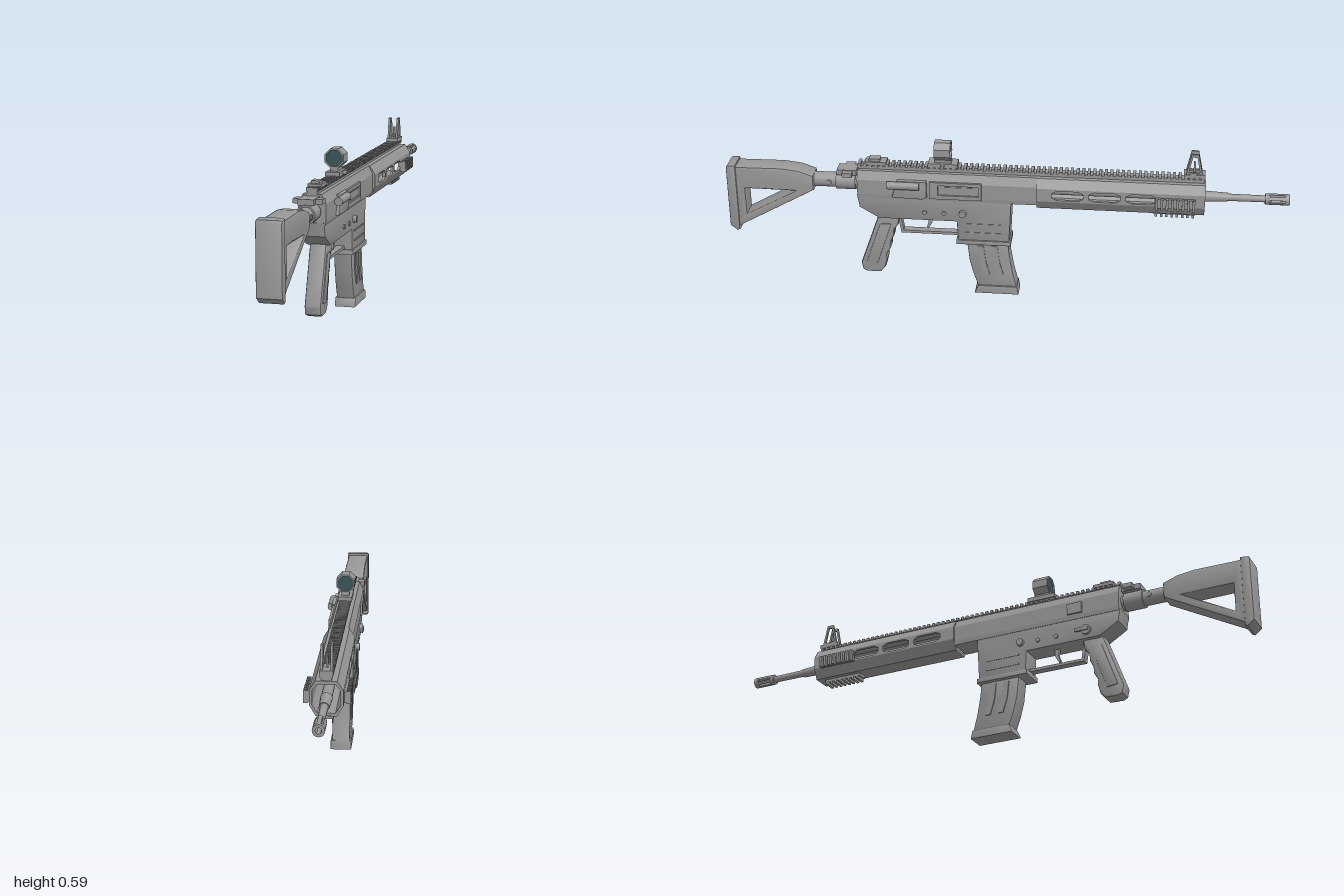
import * as THREE from 'three';
import { toCreasedNormals } from 'three/addons/utils/BufferGeometryUtils.js';

const metal = new THREE.MeshStandardMaterial({ color: 0x989898 });
metal.name = 'grey metal';
const glass = new THREE.MeshStandardMaterial({ color: 0x3a5658, side: THREE.DoubleSide });
glass.name = 'teal lens';

export function createModel() {
  const root = new THREE.Group();
  root.name = 'rifle';

  const add = (name, geo, x = 0, y = 0, z = 0, mat = metal) => {
    const m = new THREE.Mesh(geo, mat);
    m.name = name;
    m.position.set(x, y, z);
    root.add(m);
    return m;
  };
  const shapeOf = (pts, holes = []) => {
    const s = new THREE.Shape(pts.map(p => new THREE.Vector2(...p)));
    for (const h of holes) s.holes.push(new THREE.Path(h.map(p => new THREE.Vector2(...p))));
    return s;
  };
  // Side outline in (z, y), extruded to a full width w across x
  const profile = (name, pts, w, { holes = [], bevel = 0, x = 0 } = {}) => {
    const g = new THREE.ExtrudeGeometry(shapeOf(pts, holes), {
      depth: w - 2 * bevel, bevelEnabled: bevel > 0, bevelSize: bevel,
      bevelOffset: -bevel, bevelThickness: bevel, bevelSegments: 2,
    });
    g.translate(0, 0, -(w - 2 * bevel) / 2).rotateY(-Math.PI / 2);
    return add(name, toCreasedNormals(g, 0.6), x);
  };
  // Cross-section in (x, y), extruded from z0 to z1
  const section = (name, pts, z0, z1, holes = []) =>
    add(name, new THREE.ExtrudeGeometry(shapeOf(pts, holes), { depth: z1 - z0, bevelEnabled: false }), 0, 0, z0);
  const box = (name, x, y, z, w, h, d) => add(name, new THREE.BoxGeometry(w, h, d), x, y, z);
  // Rod along z, and pin along x
  const rod = (name, r0, r1, z0, z1, y, x = 0, n = 20) =>
    add(name, new THREE.CylinderGeometry(r1, r0, z1 - z0, n).rotateX(Math.PI / 2), x, y, (z0 + z1) / 2);
  const pin = (name, r, x, y, z, w, n = 16) =>
    add(name, new THREE.CylinderGeometry(r, r, w, n).rotateZ(Math.PI / 2), x, y, z);
  const octagon = (r, y) => Array.from({ length: 8 }, (_, i) => {
    const a = Math.PI / 8 + i * Math.PI / 4;
    return [r * Math.cos(a), y + r * Math.sin(a)];
  });
  const slot = (z0, z1, y, h) => [
    [z0 + h / 2, y - h / 2], [z1 - h / 2, y - h / 2], [z1, y - h / 4], [z1, y + h / 4],
    [z1 - h / 2, y + h / 2], [z0 + h / 2, y + h / 2], [z0, y + h / 4], [z0, y - h / 4]];

  // Stock with triangular opening, and butt pad
  profile('stock', [[0.97, 0.47], [0.80, 0.472], [0.74, 0.465], [0.685, 0.447], [0.685, 0.39], [0.97, 0.23]],
    0.078, { bevel: 0.008, holes: [[[0.935, 0.385], [0.935, 0.285], [0.755, 0.385]]] });
  profile('buttPad', [[0.965, 0.478], [0.995, 0.475], [1, 0.465], [1, 0.235], [0.975, 0.215], [0.965, 0.22]],
    0.086, { bevel: 0.006 });
  rod('bufferTube', 0.027, 0.027, 0.52, 0.70, 0.42);
  rod('bufferCollar', 0.033, 0.033, 0.535, 0.605, 0.42);
  pin('collarPin', 0.009, 0, 0.42, 0.63, 0.058);
  box('chargingHandle', 0, 0.461, 0.565, 0.055, 0.02, 0.07);
  box('chargingLatch', 0, 0.461, 0.56, 0.1, 0.016, 0.035);

  // Upper receiver
  section('upperReceiver', [[-0.045, 0.375], [0.045, 0.375], [0.047, 0.39], [0.047, 0.445], [0.032, 0.476],
    [-0.032, 0.476], [-0.047, 0.445], [-0.047, 0.39]], -0.115, 0.525);
  // Lower receiver and magazine well
  profile('lowerReceiver', [[0.528, 0.382], [0.52, 0.335], [0.45, 0.293], [0.17, 0.293], [0.165, 0.21],
    [-0.018, 0.21], [-0.026, 0.382]], 0.086, { bevel: 0.004 });
  profile('magazineWellLip', [[0.172, 0.222], [0.172, 0.204], [-0.024, 0.204], [-0.024, 0.222]], 0.096, { bevel: 0.004 });
  for (const s of [-1, 1]) {
    for (const y of [0.25, 0.285]) box('wellRib', s * 0.043, y, 0.075, 0.004, 0.006, 0.13);
    pin('receiverPin', 0.008, s * 0.044, 0.325, 0.285, 0.008);
    pin('receiverPin', 0.008, s * 0.044, 0.325, 0.215, 0.008);
    pin('magazineCatch', 0.013, s * 0.047, 0.328, 0.148, 0.018);
  }

  // Right-hand working parts on the +x side
  profile('ejectionPort', [[0.265, 0.385], [0.265, 0.45], [0.08, 0.45], [0.08, 0.385]], 0.01,
    { x: 0.048, holes: [[[0.235, 0.4], [0.09, 0.4], [0.09, 0.438], [0.235, 0.438]]] });
  box('boltCover', 0.046, 0.419, 0.155, 0.006, 0.026, 0.12);
  profile('deflector', [[0.40, 0.385], [0.38, 0.452], [0.275, 0.452], [0.275, 0.39], [0.29, 0.382]], 0.02, { x: 0.048, bevel: 0.004 });
  rod('boltHandle', 0.014, 0.014, 0.30, 0.415, 0.435, 0.06);
  // Controls on the -x side
  box('boltRelease', -0.048, 0.415, 0.36, 0.012, 0.04, 0.055);
  pin('selector', 0.018, -0.046, 0.325, 0.40, 0.014);
  box('selectorLever', -0.054, 0.327, 0.385, 0.006, 0.012, 0.05);

  // Handguard: top and bottom shells with slotted sides
  section('handguardTop', [[-0.055, 0.445], [-0.045, 0.445], [-0.03, 0.464], [0.03, 0.464], [0.045, 0.445],
    [0.055, 0.445], [0.035, 0.476], [-0.035, 0.476]], -0.705, -0.115);
  section('handguardBottom', [[-0.055, 0.396], [-0.034, 0.36], [0.034, 0.36], [0.055, 0.396], [0.045, 0.396],
    [0.029, 0.37], [-0.029, 0.37], [-0.045, 0.396]], -0.705, -0.115);
  const slots = [[-0.28, -0.17], [-0.41, -0.30], [-0.535, -0.43]].map(([a, b]) => slot(a, b, 0.42, 0.036));
  for (const s of [-1, 1]) {
    profile('handguardSide', [[-0.705, 0.396], [-0.115, 0.396], [-0.115, 0.445], [-0.705, 0.445]], 0.01,
      { x: s * 0.05, holes: slots });
    box('sideRail', s * 0.059, 0.412, -0.60, 0.01, 0.036, 0.14);
  }
  box('bottomRail', 0, 0.355, -0.60, 0.036, 0.012, 0.15);
  for (let i = 0; i < 8; i++) {
    const z = -0.537 - i * 0.0185;
    for (const s of [-1, 1]) box('sideRailTooth', s * 0.069, 0.412, z, 0.014, 0.042, 0.009);
    box('bottomRailTooth', 0, 0.345, z, 0.042, 0.012, 0.009);
  }

  // Full-length top rail
  box('topRail', 0, 0.48, -0.0875, 0.034, 0.016, 1.225);
  for (let i = 0; i < 62; i++) box('topRailTooth', 0, 0.491, 0.519 - i * 0.0199, 0.042, 0.012, 0.0105);

  // Barrel and slotted muzzle
  rod('innerBarrel', 0.018, 0.018, -0.72, -0.10, 0.418);
  rod('barrelCollar', 0.016, 0.02, -0.785, -0.70, 0.418);
  rod('barrel', 0.012, 0.013, -0.93, -0.78, 0.418);
  rod('muzzleCollar', 0.019, 0.019, -0.93, -0.915, 0.418);
  const ring = new THREE.Shape().absarc(0, 0, 0.02, 0, Math.PI * 2);
  ring.holes.push(new THREE.Path().absarc(0, 0, 0.01, 0, Math.PI * 2, true));
  add('muzzleRing', new THREE.ExtrudeGeometry(ring, { depth: 0.016, bevelEnabled: false, curveSegments: 10 }), 0, 0.418, -1);
  for (let i = 0; i < 6; i++) {
    const a = (i + 0.5) * Math.PI / 3;
    const prong = box('muzzleProng', 0.0145 * Math.cos(a), 0.418 + 0.0145 * Math.sin(a), -0.957, 0.009, 0.013, 0.062);
    prong.rotation.z = a;
  }

  // Optic on its mount
  box('opticMount', 0, 0.502, 0.22, 0.05, 0.016, 0.105);
  box('opticNeck', 0, 0.517, 0.22, 0.028, 0.018, 0.06);
  pin('mountKnob', 0.007, 0.03, 0.502, 0.22, 0.016);
  section('opticBody', octagon(0.036, 0.554), 0.192, 0.25, [octagon(0.03, 0.554)]);
  for (const z of [0.198, 0.244])
    add('opticLens', new THREE.ShapeGeometry(shapeOf(octagon(0.0302, 0.554))), 0, 0, z, glass);

  // Rear sight, folded
  box('rearSightBase', 0, 0.499, 0.46, 0.046, 0.012, 0.075);
  box('rearSightLeaf', 0, 0.508, 0.465, 0.03, 0.012, 0.04);

  // Front sight: two open frames with a post between
  box('frontSightBase', 0, 0.502, -0.665, 0.044, 0.014, 0.075);
  for (const s of [-1, 1])
    profile('frontSightFrame', [[-0.693, 0.506], [-0.676, 0.585], [-0.651, 0.585], [-0.634, 0.506]], 0.008,
      { x: s * 0.016, holes: [[[-0.683, 0.515], [-0.644, 0.515], [-0.656, 0.575], [-0.671, 0.575]]] });
  box('frontSightPost', 0, 0.528, -0.664, 0.007, 0.045, 0.007);

  // Pistol grip with finger waves
  profile('pistolGrip', [[0.455, 0.298], [0.49, 0.2], [0.526, 0.098], [0.52, 0.07], [0.505, 0.062], [0.455, 0.063],
    [0.437, 0.085], [0.428, 0.12], [0.43, 0.14], [0.415, 0.165], [0.414, 0.19], [0.402, 0.215], [0.4, 0.24],
    [0.384, 0.262], [0.378, 0.298]], 0.058, { bevel: 0.008 });
  for (const s of [-1, 1])
    profile('gripPanel', [[0.45, 0.265], [0.505, 0.105], [0.465, 0.1], [0.445, 0.16], [0.41, 0.265]], 0.008,
      { x: s * 0.028, bevel: 0.002 });

  // Trigger and guard
  profile('triggerGuard', [[0.388, 0.296], [0.376, 0.224], [0.165, 0.224], [0.165, 0.234], [0.367, 0.234], [0.377, 0.296]], 0.028);
  profile('trigger', [[0.28, 0.296], [0.262, 0.296], [0.264, 0.265], [0.277, 0.243], [0.284, 0.246], [0.277, 0.268]], 0.012);

  // Curved magazine with side ribs and floor plate
  profile('magazine', [[0.136, 0.215], [0.126, 0.13], [0.112, 0.075], [0.094, 0.025], [-0.046, 0.025],
    [-0.03, 0.09], [-0.018, 0.16], [-0.014, 0.215]], 0.064, { bevel: 0.004 });
  profile('magazineFloorPlate', [[0.095, 0.032], [0.107, 0.006], [0.107, 0], [-0.052, 0], [-0.052, 0.004], [-0.046, 0.032]],
    0.075, { bevel: 0.003 });
  for (const s of [-1, 1]) for (const z of [0.085, 0.035])
    profile('magazineRib', [[z + 0.012, 0.195], [z + 0.004, 0.13], [z - 0.012, 0.08], [z - 0.032, 0.08],
      [z - 0.018, 0.13], [z - 0.01, 0.195]], 0.006, { x: s * 0.033 });

  return root;
}
